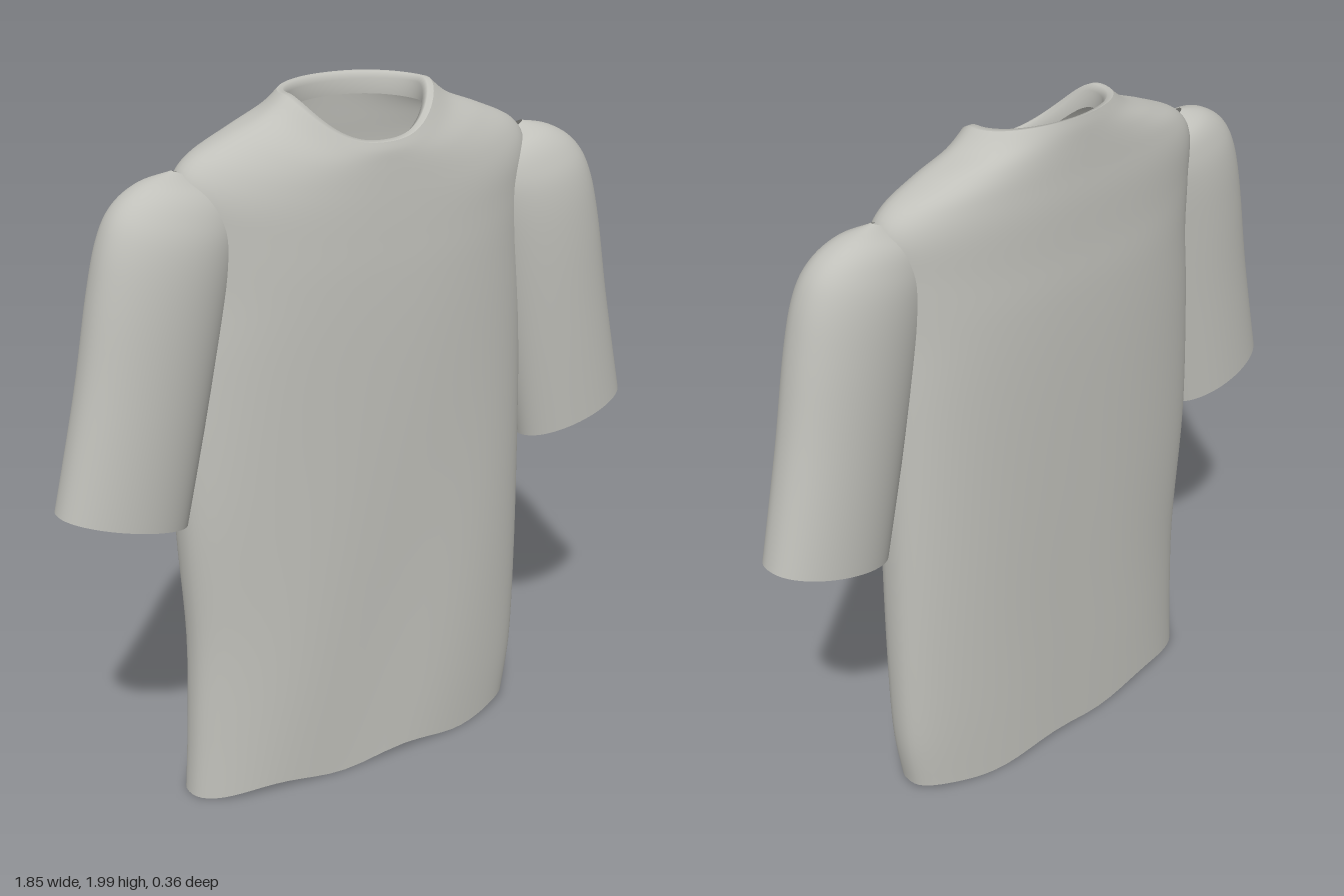
import * as THREE from 'three';

const SEG = 72;

// Smoothly resample a list of key rows (each an array of numbers).
function resample(keys, steps) {
  const out = [], n = keys.length - 1;
  for (let s = 0; s <= n * steps; s++) {
    const i = Math.min(Math.floor(s / steps), n - 1), t = s / steps - i;
    const a = keys[Math.max(i - 1, 0)], b = keys[i], c = keys[i + 1], d = keys[Math.min(i + 2, n)];
    out.push(b.map((_, k) => {
      const m0 = (c[k] - a[k]) / 2, m1 = (d[k] - b[k]) / 2;
      return (2 * t ** 3 - 3 * t * t + 1) * b[k] + (t ** 3 - 2 * t * t + t) * m0
        + (3 * t * t - 2 * t ** 3) * c[k] + (t ** 3 - t * t) * m1;
    }));
  }
  return out;
}

function geometry(points, index) {
  const g = new THREE.BufferGeometry().setFromPoints(points);
  g.setIndex(index);
  g.computeVertexNormals();
  return g;
}

// Skin closed rings of points, bottom to top.
function loft(rings) {
  const index = [];
  for (let i = 0; i < rings.length - 1; i++) {
    for (let j = 0; j < SEG; j++) {
      const k = (j + 1) % SEG;
      const a = i * SEG + j, b = i * SEG + k, c = a + SEG, d = b + SEG;
      index.push(a, c, b, b, c, d);
    }
  }
  return geometry(rings.flat(), index);
}

// Downward facing lid over one ring.
function cap(ring) {
  const centre = ring.reduce((s, p) => s.add(p), new THREE.Vector3()).divideScalar(SEG);
  const index = [];
  for (let j = 0; j < SEG; j++) index.push(SEG, j, (j + 1) % SEG);
  return geometry([...ring, centre], index);
}

const angles = Array.from({ length: SEG }, (_, j) => (j / SEG) * Math.PI * 2);
const power = (v, e) => Math.sign(v) * Math.abs(v) ** e;

// Torso ring: front, side and back heights, left and right half widths, front and back depths, squareness
function torsoRing([yf, ys, yb, wl, wr, zf, zb, n]) {
  return angles.map((t) => {
    const c = power(Math.cos(t), 2 / n), s = power(Math.sin(t), 2 / n);
    const x = c * (c > 0 ? wl : wr);
    const y0 = s > 0 ? yf : yb;
    let y = y0 + (ys - y0) * Math.abs(Math.cos(t)) ** 2.6;
    // wavy hem that fades out upwards
    const fade = Math.max(0, 1 - yf / 0.3);
    y += fade * (0.018 + 0.012 * Math.cos((x - 0.08) * Math.PI * 2 / 0.44));
    // soft diagonal drape
    const drape = 0.004 * Math.sin(x * 11 - yf * 4) * Math.max(0, 1 - yf / 1.7);
    return new THREE.Vector3(x, y, s * (s > 0 ? zf : zb) + drape * s);
  });
}

// Sleeve ring: outer x, y; inner x, y; front and back z
function sleeveRing([ox, oy, ix, iy, zf, zb]) {
  const mid = (zf + zb) / 2, r = (zf - zb) / 2;
  return angles.map((t) => {
    const u = (1 + Math.cos(t)) / 2;
    return new THREE.Vector3(ix + (ox - ix) * u, iy + (oy - iy) * u, mid + r * power(Math.sin(t), 0.9));
  });
}

const mirror = (ring) => ring.map((p) => new THREE.Vector3(-p.x, p.y, p.z)).reverse();

export function createModel() {
  const model = new THREE.Group();
  model.name = 'shirt';
  const cloth = new THREE.MeshStandardMaterial({ color: 0xc0c0ba, side: THREE.DoubleSide });
  cloth.name = 'grey cloth';
  const add = (name, geo, parent = model) => {
    const mesh = new THREE.Mesh(geo, cloth);
    mesh.name = name;
    parent.add(mesh);
  };

  // Torso from hem to neckline
  const torso = resample([
    [0, 0, 0, 0.53, 0.575, 0.155, 0.14, 2.4],
    [0.2, 0.2, 0.2, 0.555, 0.562, 0.16, 0.145, 2.4],
    [0.5, 0.5, 0.5, 0.56, 0.552, 0.166, 0.153, 2.4],
    [0.9, 0.9, 0.9, 0.553, 0.57, 0.173, 0.166, 2.4],
    [1.3, 1.3, 1.3, 0.54, 0.55, 0.18, 0.177, 2.4],
    [1.5, 1.52, 1.52, 0.53, 0.53, 0.18, 0.178, 2.4],
    [1.62, 1.68, 1.66, 0.54, 0.54, 0.176, 0.172, 2.3],
    [1.7, 1.79, 1.78, 0.545, 0.545, 0.172, 0.168, 2.2],
    [1.76, 1.855, 1.86, 0.5, 0.5, 0.168, 0.162, 2.1],
    [1.81, 1.905, 1.92, 0.39, 0.39, 0.164, 0.158, 2.1],
    [1.845, 1.945, 1.97, 0.285, 0.285, 0.16, 0.154, 2],
    [1.868, 1.99, 2, 0.225, 0.225, 0.152, 0.148, 2],
  ], 6).map(torsoRing);
  add('torso', loft(torso));
  add('hemUnderside', cap(torso[0]));

  // Collar band turning in and down inside the neck
  add('collar', loft([
    [1.868, 1.99, 2, 0.225, 0.225, 0.152, 0.148, 2],
    [1.872, 1.992, 1.998, 0.208, 0.208, 0.138, 0.136, 2],
    [1.862, 1.978, 1.98, 0.194, 0.194, 0.125, 0.125, 2],
    [1.83, 1.93, 1.94, 0.197, 0.197, 0.128, 0.128, 2],
  ].map(torsoRing)));

  // Sleeves from cuff to shoulder
  const sleeve = resample([
    [0.925, 0.985, 0.565, 0.885, 0.137, -0.09],
    [0.85, 1.3, 0.5, 1.18, 0.146, -0.095],
    [0.8, 1.55, 0.44, 1.44, 0.15, -0.1],
    [0.762, 1.69, 0.4, 1.6, 0.142, -0.098],
    [0.715, 1.768, 0.38, 1.69, 0.118, -0.085],
    [0.64, 1.815, 0.4, 1.755, 0.08, -0.06],
    [0.55, 1.835, 0.46, 1.8, 0.02, -0.01],
  ], 6).map(sleeveRing);
  for (const [name, rings] of [['leftSleeve', sleeve], ['rightSleeve', sleeve.map(mirror)]]) {
    const group = new THREE.Group();
    group.name = name;
    add('sleeveTube', loft(rings), group);
    add('cuffUnderside', cap(rings[0]), group);
    model.add(group);
  }
  return model;
}
